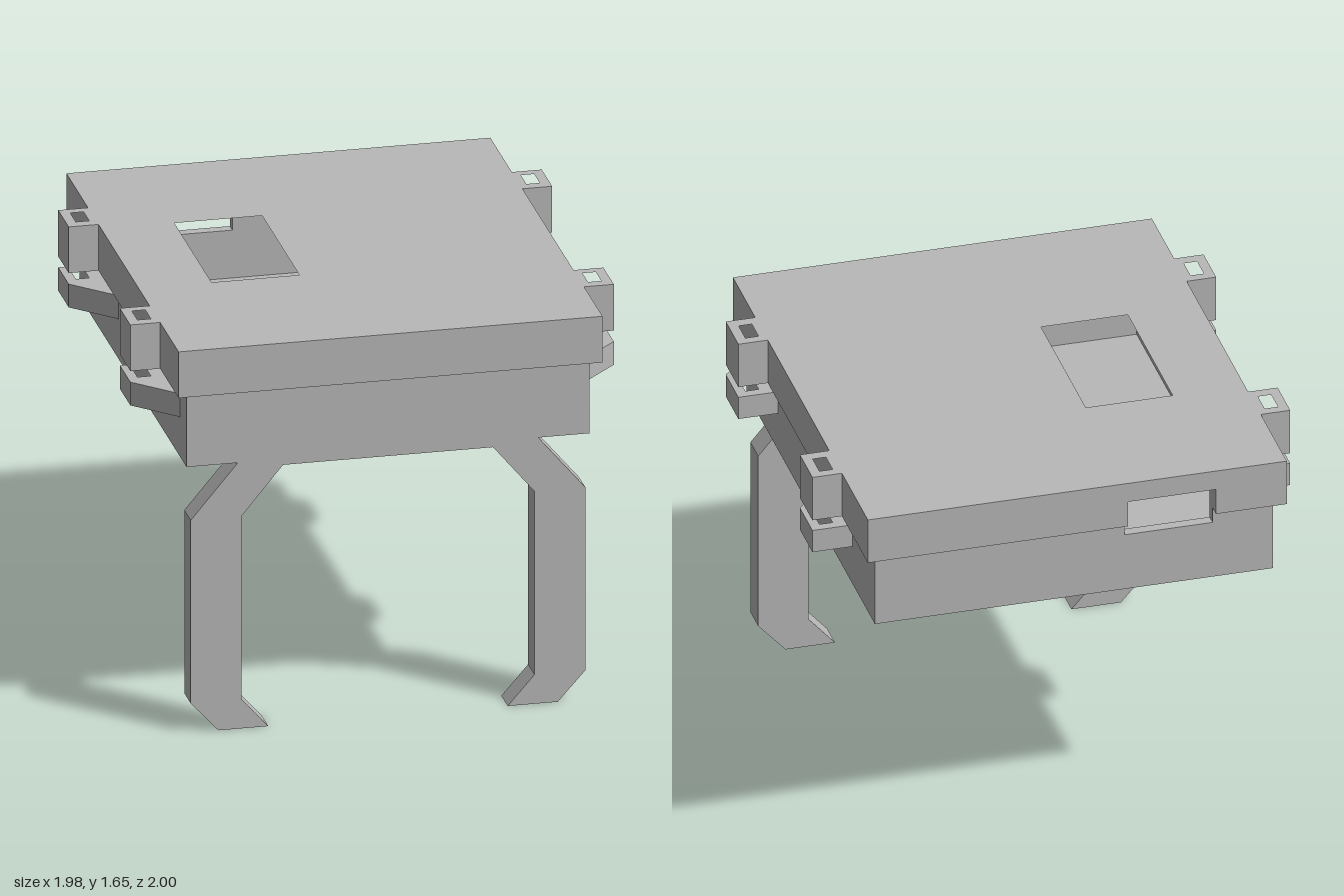
import * as THREE from 'three';

export function createModel() {
  const root = new THREE.Group();
  const grey = new THREE.MeshStandardMaterial({ color: 0xb8b8b8 });
  grey.name = 'plain grey';

  const add = (name, geo, parent = root) => {
    const mesh = new THREE.Mesh(geo, grey);
    mesh.name = name;
    parent.add(mesh);
    return mesh;
  };
  const group = (name) => {
    const g = new THREE.Group();
    g.name = name;
    root.add(g);
    return g;
  };
  // Box given by its limits
  const box = (name, x0, x1, y0, y1, z0, z1, parent) => add(name,
    new THREE.BoxGeometry(x1 - x0, y1 - y0, z1 - z0)
      .translate((x0 + x1) / 2, (y0 + y1) / 2, (z0 + z1) / 2), parent);
  const pts = (list) => list.map(([a, b]) => new THREE.Vector2(a, b));
  const rect = (x0, x1, z0, z1) => [[x0, z0], [x1, z0], [x1, z1], [x0, z1]];
  // Horizontal plate: outline in x and z, raised from y0 to y1
  const plate = (name, outline, holes, y0, y1, parent) => {
    const flip = (list) => pts(list.map(([x, z]) => [x, -z]));
    const s = new THREE.Shape(flip(outline));
    holes.forEach((h) => s.holes.push(new THREE.Path(flip(h))));
    const geo = new THREE.ExtrudeGeometry(s, { depth: y1 - y0, bevelEnabled: false });
    return add(name, geo.rotateX(-Math.PI / 2).translate(0, y0, 0), parent);
  };
  // Upright panel: outline in x and y, from z0 to z1
  const panel = (name, outline, z0, z1, parent) => add(name,
    new THREE.ExtrudeGeometry(new THREE.Shape(pts(outline)), { depth: z1 - z0, bevelEnabled: false })
      .translate(0, 0, z0), parent);

  // Hollow tray with two drilled holes and a cable notch in the back wall
  const base = group('base');
  const drill = (cx, cz) => Array.from({ length: 20 }, (_, i) => {
    const a = (i / 20) * Math.PI * 2;
    return [cx + 0.03 * Math.cos(a), cz + 0.03 * Math.sin(a)];
  });
  plate('baseFloor', rect(-0.825, 0.825, -0.95, 0.955),
    [drill(0.71, -0.835), drill(-0.71, -0.835)], 1.14, 1.185, base);
  for (const s of [-1, 1]) {
    const x = s * 0.8025;
    box('baseSide', x - 0.0225, x + 0.0225, 1.185, 1.46, -0.95, 0.955, base);
  }
  box('baseFront', -0.78, 0.78, 1.185, 1.46, 0.91, 0.955, base);
  panel('baseBack', [[-0.78, 1.185], [0.78, 1.185], [0.78, 1.46], [-0.21, 1.46],
    [-0.21, 1.39], [-0.575, 1.39], [-0.575, 1.46], [-0.78, 1.46]], -0.95, -0.905, base);
  box('innerRib', 0.15, 0.195, 1.185, 1.46, 0.68, 0.91, base);

  // Lid with a window, a rim and a matching notch
  const lid = group('lid');
  plate('lidTop', rect(-0.868, 0.868, -1, 1), [rect(-0.57, -0.21, -0.375, 0.29)], 1.61, 1.655, lid);
  for (const s of [-1, 1]) {
    const x = s * 0.824;
    box('lidSide', x - 0.044, x + 0.044, 1.457, 1.61, -1, 1, lid);
  }
  box('lidFront', -0.78, 0.78, 1.457, 1.61, 0.91, 1, lid);
  panel('lidBack', [[-0.78, 1.457], [-0.575, 1.457], [-0.575, 1.57], [-0.21, 1.57],
    [-0.21, 1.457], [0.78, 1.457], [0.78, 1.61], [-0.78, 1.61]], -1, -0.905, lid);

  // Slotted ears on both sides: square on the lid, gusseted on the base
  const ears = group('ears');
  for (const s of [-1, 1]) {
    for (const z of [-0.615, 0.483]) {
      const m = (list) => {
        const out = list.map(([x, dz]) => [s * x, z + dz]);
        return s < 0 ? out.reverse() : out;
      };
      const slot = m(rect(0.895, 0.95, 0.04, 0.14));
      plate('lidEar', m(rect(0.868, 0.99, 0, 0.187)), [slot], 1.457, 1.655, ears);
      plate('baseEar', m([[0.825, 0], [0.99, 0], [0.99, 0.187], [0.825, 0.355]]),
        [slot], 1.31, 1.41, ears);
    }
  }

  // Bent front legs joined by a thin crossbar
  const half = [[0.43, 1.115], [0.6, 0.91], [0.6, 0.125], [0.49, 0],
    [0.695, 0], [0.808, 0.125], [0.808, 0.91], [0.615, 1.14]];
  const mirrored = half.map(([x, y]) => [-x, y]).reverse();
  panel('frontLegs', [...half, ...mirrored], 0.84, 0.955);

  return root;
}
